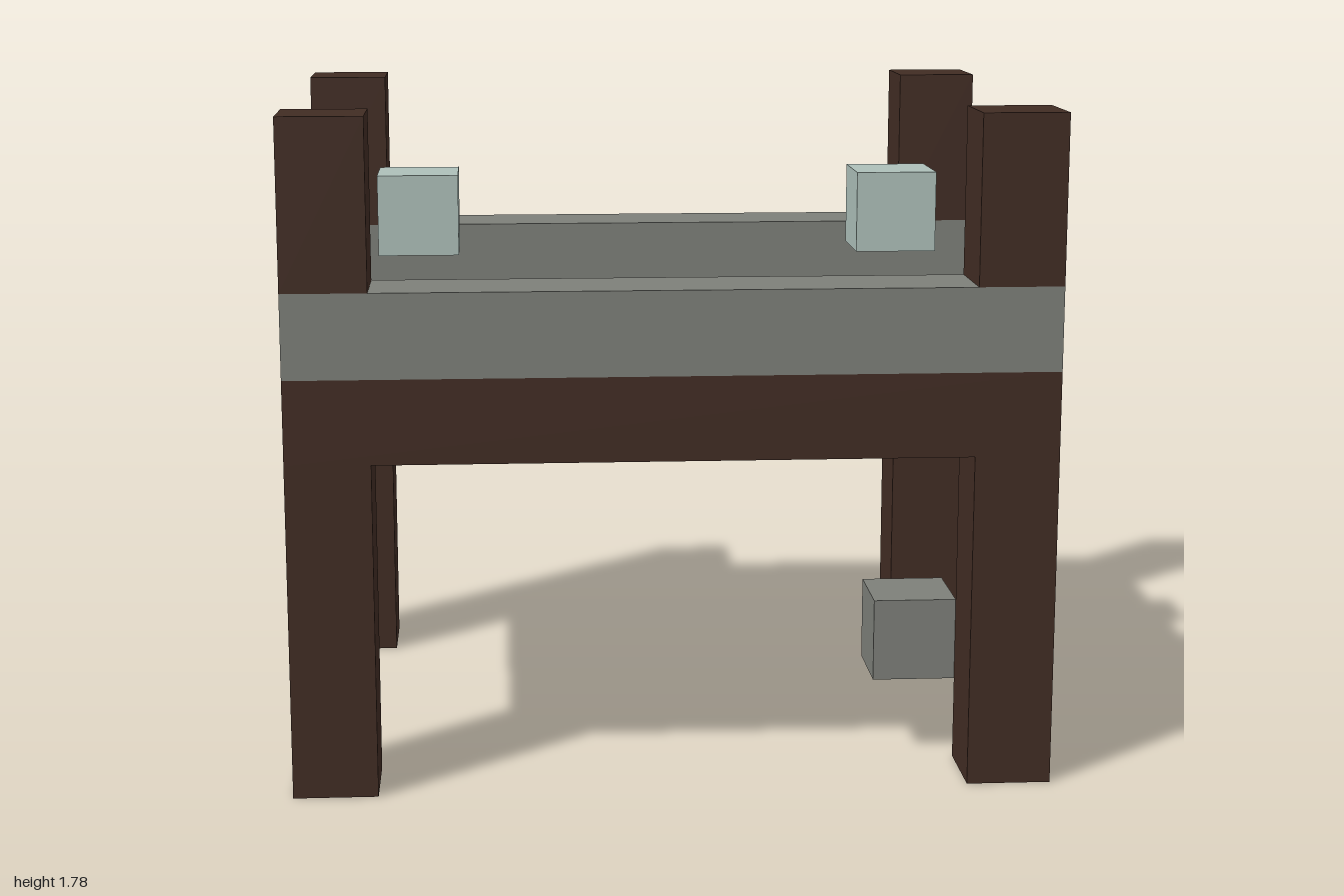
import * as THREE from 'three';

// The whole model sits on a grid of cubes, nine wide, eight high, seven deep.
const U = 2 / 9;

export function createModel() {
  const model = new THREE.Group();
  model.name = 'blockTable';

  const mat = (name, color) => {
    const m = new THREE.MeshStandardMaterial({ color });
    m.name = name;
    return m;
  };
  const wood = mat('darkWood', 0x412c23);
  const stone = mat('greyStone', 0x7d7f79);
  const pale = mat('paleGreen', 0xadbfb9);

  // Box sized in grid cubes; x and z give its centre, y its underside
  const block = (name, material, [w, h, d], [x, y, z]) => {
    const mesh = new THREE.Mesh(new THREE.BoxGeometry(w * U, h * U, d * U), material);
    mesh.name = name;
    mesh.position.set(x * U, (y + h / 2) * U, z * U);
    model.add(mesh);
  };

  block('deck', wood, [9, 1, 7], [0, 4, 0]);

  for (const z of [-3, 3]) {
    const end = z > 0 ? 'front' : 'back';
    block(end + 'Rail', stone, [9, 1, 1], [0, 5, z]);
    // Legs below the deck and posts on top of the rails
    for (const x of [-4, 4]) {
      const side = x > 0 ? 'Left' : 'Right';
      block(end + side + 'Leg', wood, [1, 4, 1], [x, 0, z]);
      block(end + side + 'Post', wood, [1, 2, 1], [x, 6, z]);
    }
  }

  // Loose cubes floating above and below the deck
  block('leftPaleCube', pale, [1, 1, 1], [3, 6, 0]);
  block('rightPaleCube', pale, [1, 1, 1], [-3, 6, 0]);
  block('lowerStoneCube', stone, [1, 1, 1], [3, 1, 2]);

  return model;
}
